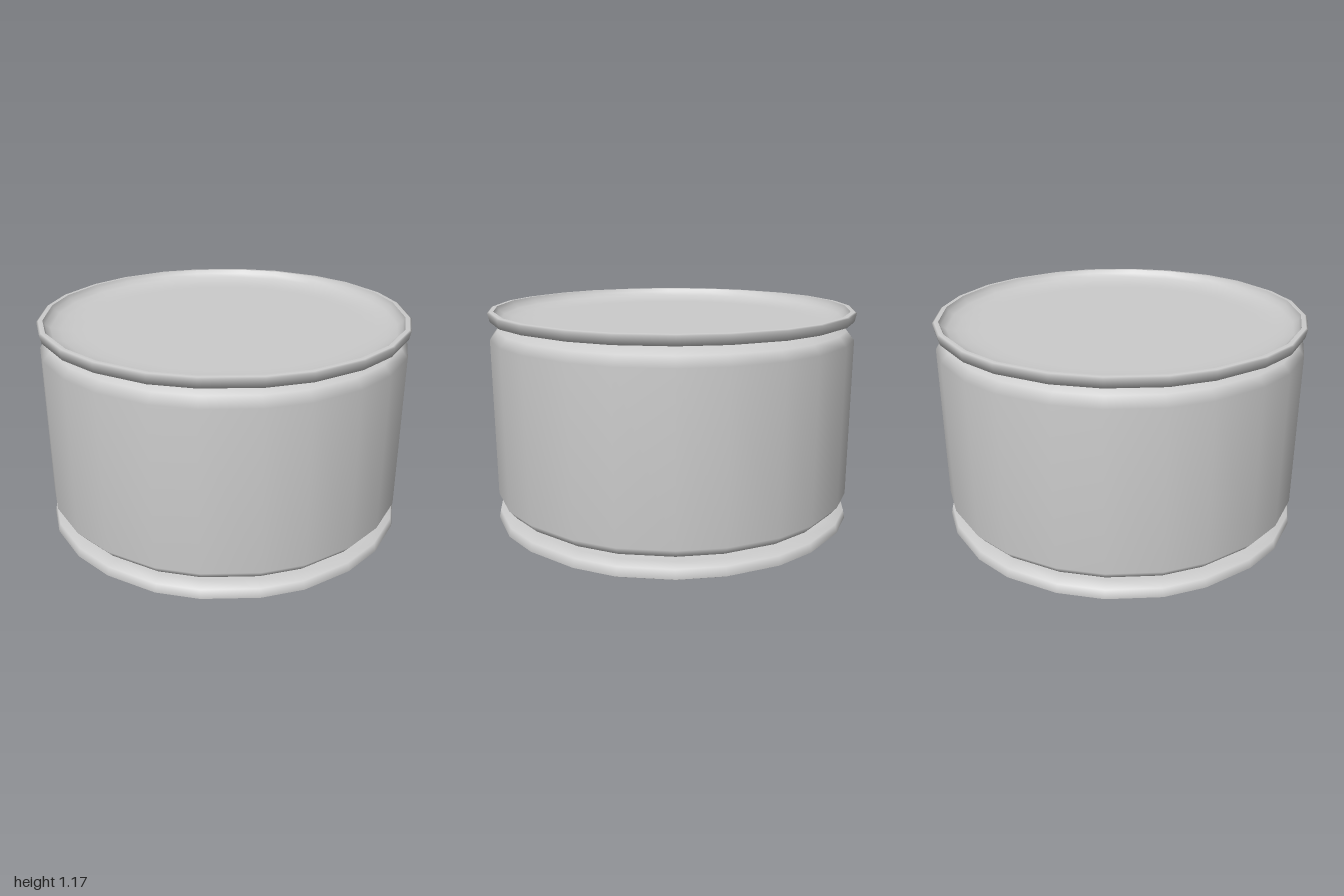
import * as THREE from 'three';

const HEIGHT = 1.17;
const SIDES = 24;
const material = new THREE.MeshStandardMaterial({ color: 0xcccccc });

// The sides are slightly uneven: angle offset (degrees) and radius factor, repeating each quarter
const OFFSET = [1, -0.9, 0.5, -0.5, 0.9, -1];
const FACTOR = [1.011, 1.014, 1.011, 1.011, 1.014, 1.011];

// Smooth lathe around y whose corners follow the uneven spacing
function turned(name, profile) {
  const points = profile.map(([r, y]) => new THREE.Vector2(r, y));
  const geometry = new THREE.LatheGeometry(points, SIDES, Math.PI / SIDES);
  const { position, normal } = geometry.attributes;
  const up = new THREE.Vector3(0, 1, 0);
  const v = new THREE.Vector3();
  for (let i = 0; i < position.count; i++) {
    const k = Math.floor(i / points.length) % 6;
    const turn = THREE.MathUtils.degToRad(OFFSET[k]);
    v.fromBufferAttribute(position, i).applyAxisAngle(up, turn);
    position.setXYZ(i, v.x * FACTOR[k], v.y, v.z * FACTOR[k]);
    v.fromBufferAttribute(normal, i).applyAxisAngle(up, turn);
    normal.setXYZ(i, v.x, v.y, v.z);
  }
  const mesh = new THREE.Mesh(geometry, material);
  mesh.name = name;
  return mesh;
}

// Same profile upside down, keeping the faces outward
const flipped = (profile) => profile.map(([r, y]) => [r, HEIGHT - y]).reverse();

export function createModel() {
  const group = new THREE.Group();
  group.name = 'tinCan';

  // Wall with rounded shoulders, ending where the rims begin
  const shoulder = [[0.994, 1.02], [0.955, 1.068], [0.895, 1.094], [0.86, 1.102]];
  group.add(turned('body', [...flipped(shoulder), ...shoulder]));

  // Flared rims
  const rim = [[0.86, 1.102], [0.92, 1.109], [0.99, 1.117], [1, 1.164], [0.99, 1.17], [0.968, 1.17]];
  group.add(turned('topRim', rim));
  group.add(turned('bottomRim', flipped(rim)));

  // Dished lids set inside the rims
  const lid = [
    [0.968, 1.17], [0.958, 1.148], [0.93, 1.128], [0.88, 1.114],
    [0.82, 1.107], [0.75, 1.106], [0, 1.106],
  ];
  group.add(turned('topLid', lid));
  group.add(turned('bottomLid', flipped(lid)));

  return group;
}
